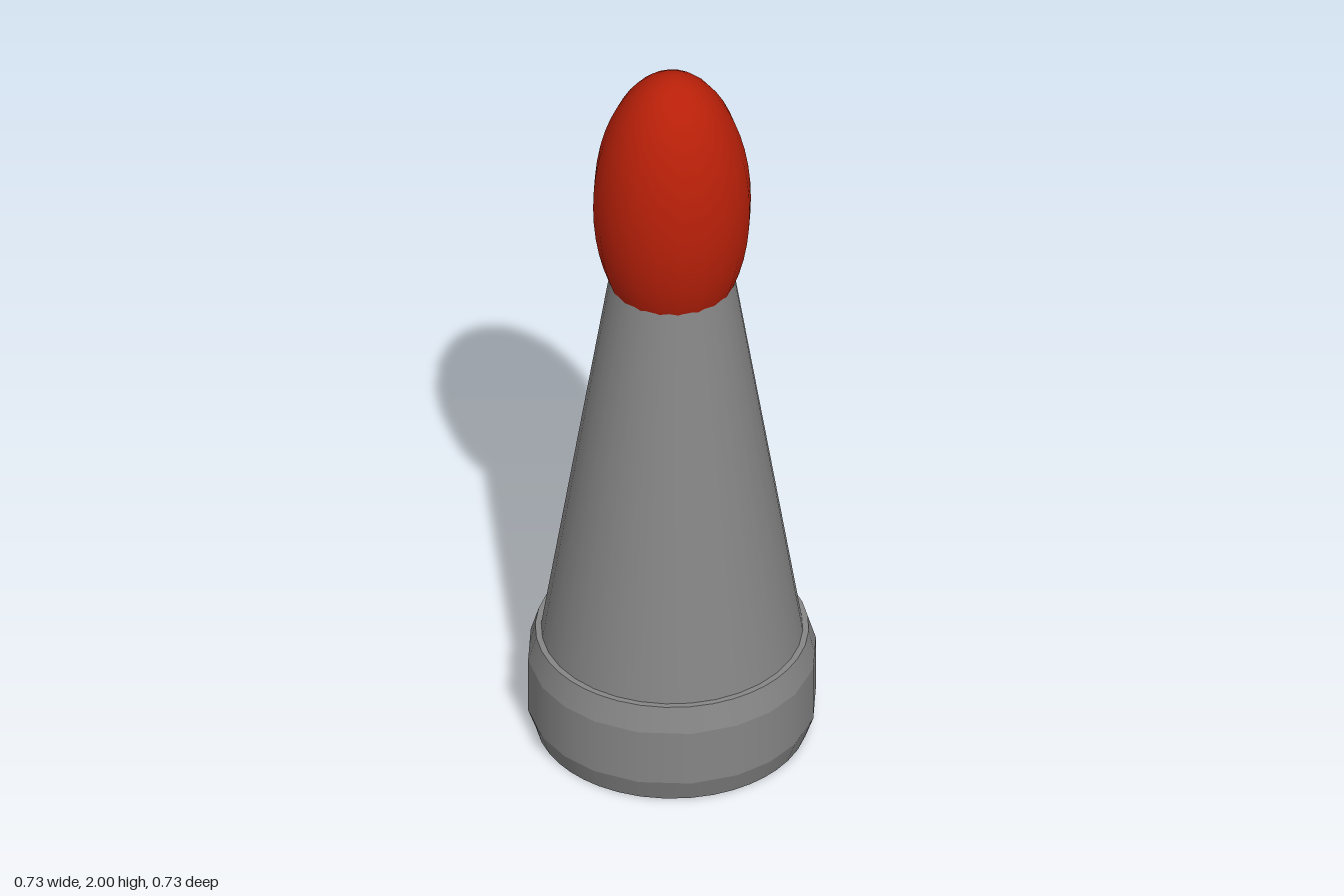
import * as THREE from 'three';

const grey = new THREE.MeshStandardMaterial({ color: 0x858585 });
const red = new THREE.MeshStandardMaterial({ color: 0xb82009 });
const SIDES = 40;
const RIM = 0.345;
const BAND = 0.366;

// Base outline: round at the rims, bulging into 20 uneven facets at the band
function facet(geometry) {
  const pos = geometry.attributes.position;
  for (let i = 0; i < pos.count; i++) {
    const angle = Math.atan2(pos.getZ(i), pos.getX(i));
    let radius = Math.hypot(pos.getX(i), pos.getZ(i));
    const middle = Math.abs(Math.round(angle * SIDES / (2 * Math.PI))) % 2 === 1;
    if (radius > RIM + 0.01 && middle) {
      radius *= Math.cos(Math.PI / 20 * (1 - 0.18 * Math.cos(4 * angle)));
    }
    const turned = angle - 0.045 * Math.sin(4 * angle);
    pos.setX(i, radius * Math.cos(turned));
    pos.setZ(i, radius * Math.sin(turned));
  }
  return geometry;
}

// Round section from y0 to y1, smooth around with crisp rims
function sectionGeometry(r0, y0, r1, y1, sides, open) {
  return new THREE.CylinderGeometry(r1, r0, y1 - y0, sides, 1, open)
    .translate(0, (y0 + y1) / 2, 0);
}

// Flat disc closing the base, facing up or down
function discGeometry(y, up) {
  return new THREE.CircleGeometry(RIM, SIDES)
    .rotateX(up ? -Math.PI / 2 : Math.PI / 2)
    .translate(0, y, 0);
}

function part(name, geometry, material) {
  const mesh = new THREE.Mesh(geometry, material);
  mesh.name = name;
  return mesh;
}

export function createModel() {
  const model = new THREE.Group();
  model.name = 'taperedPeg';

  // Base collar: chamfered band with flat ends
  const base = new THREE.Group();
  base.name = 'base';
  const profile = [[RIM, 0], [BAND, 0.06], [BAND, 0.215], [RIM, 0.285]];
  ['lowerChamfer', 'baseBand', 'upperChamfer'].forEach((name, i) => {
    const geometry = sectionGeometry(...profile[i], ...profile[i + 1], SIDES, true);
    base.add(part(name, facet(geometry), grey));
  });
  base.add(
    part('baseUnderside', facet(discGeometry(0, false)), grey),
    part('baseLedge', facet(discGeometry(0.285, true)), grey),
  );
  model.add(base);

  // Tapered body, its upper end buried in the tip
  model.add(part('body', sectionGeometry(0.33, 0.285, 0.15, 1.43, 32, false), grey));

  // Egg-shaped tip
  const tip = part('tip', new THREE.SphereGeometry(1, 20, 24).scale(0.2, 0.39, 0.2), red);
  tip.position.y = 1.61;
  model.add(tip);

  return model;
}
